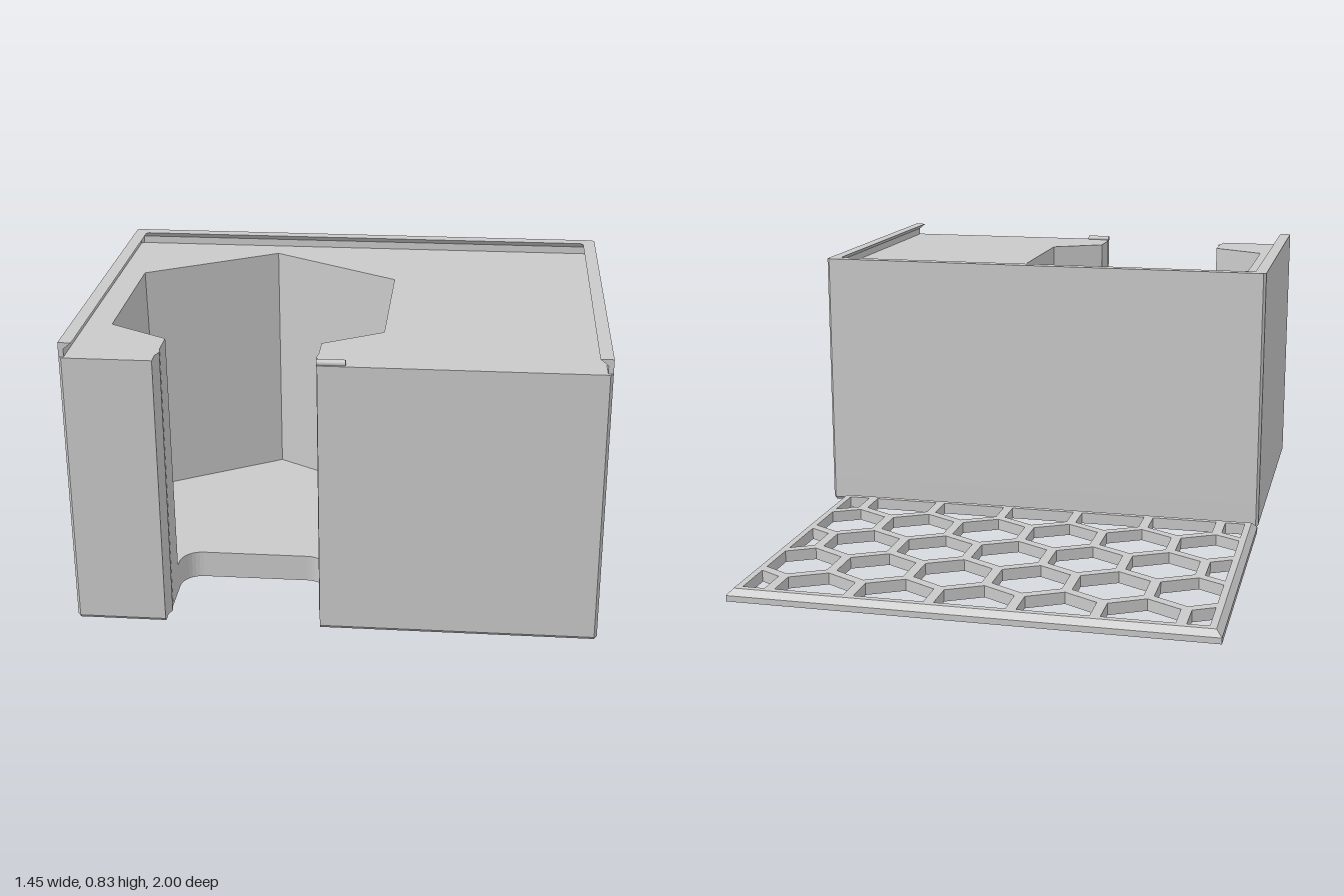
import * as THREE from 'three';

const grey = new THREE.MeshStandardMaterial({ color: 0xc9c9c9 });
grey.name = 'light grey plastic';

// Extrudes an outline given as [x, z] upwards from y0 to y1
function slab(name, outline, holes, y0, y1, steps, rule) {
  const pts = list => list.map(([x, z]) => new THREE.Vector2(x, -z));
  const shape = new THREE.Shape(pts(outline));
  shape.holes = holes.map(h => new THREE.Path(pts(h)));
  const geo = new THREE.ExtrudeGeometry(shape, { depth: y1 - y0, steps, bevelEnabled: false });
  geo.rotateX(-Math.PI / 2).translate(0, y0, 0);
  const p = geo.attributes.position, v = new THREE.Vector3();
  for (let i = 0; i < p.count; i++) {
    rule(v.fromBufferAttribute(p, i));
    p.setXYZ(i, v.x, v.y, v.z);
  }
  geo.computeVertexNormals();
  const mesh = new THREE.Mesh(geo, grey);
  mesh.name = name;
  return mesh;
}

// Box dimensions
const W = 0.724, BACK = 0.005, C = 0.008, FLOOR = 0.08, DECK = 0.79, TOP = 0.83;
const HX = -0.26, HZ = 0.528;                 // pocket centre
const NL = -0.47, NR = -0.044, NZ = 0.742;    // front notch
const outer = [[W - C, 1], [W, 1 - C], [W, BACK + C], [W - C, BACK],
  [-W + C, BACK], [-W, BACK + C], [-W, 1 - C], [-W + C, 1]];
const notchLeft = [[NL - 0.004, 1], [NL - 0.004, 0.96], [NL + 0.004, 0.94], [NL, 0.915]];
const notchRight = notchLeft.map(([x, z]) => [NL + NR - x, z]).reverse();

// Notch inner end with rounded corners
function notchEnd() {
  const r = 0.06, pts = [];
  for (const [cx, start] of [[NL + r, Math.PI], [NR - r, 1.5 * Math.PI]])
    for (let i = 0; i <= 8; i++) {
      const a = start + i * Math.PI / 16;
      pts.push([cx + r * Math.cos(a), NZ + r + r * Math.sin(a)]);
    }
  return pts;
}

// Sliding-lid rail: an undercut profile swept round both sides and the back
function rail() {
  const profile = [[0, DECK], [0, TOP], [0.036, TOP], [0.014, 0.812], [0.014, DECK]];
  const path = [[1, 0, null], [1, 0, C], [1, C, 0], [-1, C, 0], [-1, 0, C], [-1, 0, null]];
  const at = (i, j) => {
    const [s, dx, dz] = path[i], [d, y] = profile[j];
    return [s * (W - dx - d), y, dz === null ? 1 - C : BACK + dz + d];
  };
  const pos = [], n = profile.length, last = path.length - 1;
  for (let i = 0; i < last; i++)
    for (let j = 0; j < n; j++) {
      const k = (j + 1) % n;
      const a = at(i, j), b = at(i, k), c = at(i + 1, k), d = at(i + 1, j);
      pos.push(...a, ...d, ...c, ...a, ...c, ...b);
    }
  // Front end caps
  for (const [j, k] of [[4, 0], [0, 1], [1, 2]]) {
    pos.push(...at(0, 3), ...at(0, j), ...at(0, k));
    pos.push(...at(last, 3), ...at(last, k), ...at(last, j));
  }
  const geo = new THREE.BufferGeometry();
  geo.setAttribute('position', new THREE.Float32BufferAttribute(pos, 3));
  geo.computeVertexNormals();
  const mesh = new THREE.Mesh(geo, grey);
  mesh.name = 'lidRail';
  return mesh;
}

function makeBox() {
  const box = new THREE.Group();
  box.name = 'box';

  // Floor with a small bevel along its bottom outer edge
  box.add(slab('floor', [...outer, ...notchLeft, ...notchEnd(), ...notchRight], [], 0, FLOOR, 8, v => {
    if (v.y > 0.005) return;
    v.x = THREE.MathUtils.clamp(v.x, -W + C, W - C);
    v.z = THREE.MathUtils.clamp(v.z, BACK + C, 1 - C);
  }));

  // Walls around the hexagonal pocket, which narrows slightly downwards
  const pocket = [[NL, 0.84], [-0.638, 0.745], [-0.638, 0.311], [HX, 0.093],
    [0.118, 0.311], [0.118, 0.745], [NR, 0.84]];
  box.add(slab('walls', [...outer, ...notchLeft, ...pocket, ...notchRight], [], FLOOR, DECK, 1, v => {
    if (v.y > FLOOR + 0.01 || Math.hypot(v.x - HX, v.z - HZ) > 0.45) return;
    if (v.z > 0.8) { if (v.z < 0.85) v.z -= 0.015; return; }
    v.x = HX + (v.x - HX) * 0.966;
    v.z = HZ + (v.z - HZ) * 0.966;
  }));

  box.add(rail());

  // Small rounded ridge that holds the lid closed
  const ridge = new THREE.Mesh(new THREE.CylinderGeometry(0.009, 0.009, 0.077, 16), grey);
  ridge.rotation.z = Math.PI / 2;
  ridge.position.set(-0.004, DECK + 0.005, 0.987);
  ridge.name = 'lidCatch';
  box.add(ridge);
  return box;
}

// Cuts a polygon to one side of an axis-aligned line
function clip(poly, axis, limit, sign) {
  const out = [], inside = p => sign * (p[axis] - limit) <= 0;
  poly.forEach((a, i) => {
    const b = poly[(i + 1) % poly.length];
    if (inside(a)) out.push(a);
    if (inside(a) !== inside(b)) {
      const t = (limit - a[axis]) / (b[axis] - a[axis]);
      const p = [a[0] + t * (b[0] - a[0]), a[1] + t * (b[1] - a[1])];
      p[axis] = limit;
      out.push(p);
    }
  });
  return out;
}

// Honeycomb lid with bevelled edges, lying behind the box
function makeLid() {
  const x0 = -0.725, x1 = 0.673, z0 = -1, z1 = -0.032, inset = 0.017;
  const pitch = 0.2335, R = 0.1175, holes = [];
  for (let row = -2; row <= 2; row++)
    for (let col = -4; col <= 4; col++) {
      const cx = -0.028 + (col + (row % 2 ? 0.5 : 0)) * pitch;
      const cz = -0.516 + row * pitch * Math.sqrt(3) / 2;
      let hex = [];
      for (let i = 0; i < 6; i++) {
        const a = Math.PI / 6 + i * Math.PI / 3;
        hex.push([cx + R * Math.cos(a), cz + R * Math.sin(a)]);
      }
      hex = clip(hex, 0, x0 + 0.037, -1);
      hex = clip(hex, 0, x1 - 0.037, 1);
      hex = clip(hex, 1, z0 + 0.036, -1);
      hex = clip(hex, 1, z1 - 0.036, 1);
      if (hex.length > 2) holes.push(hex);
    }
  return slab('honeycombLid', [[x0, z1], [x1, z1], [x1, z0], [x0, z0]], holes, 0, 0.035, 2, v => {
    if (v.y < 0.03) return;
    v.x = THREE.MathUtils.clamp(v.x, x0 + inset, x1 - inset);
    v.z = THREE.MathUtils.clamp(v.z, z0 + inset, z1 - inset);
  });
}

export function createModel() {
  const model = new THREE.Group();
  model.name = 'boxWithLid';
  model.add(makeBox(), makeLid());
  return model;
}
